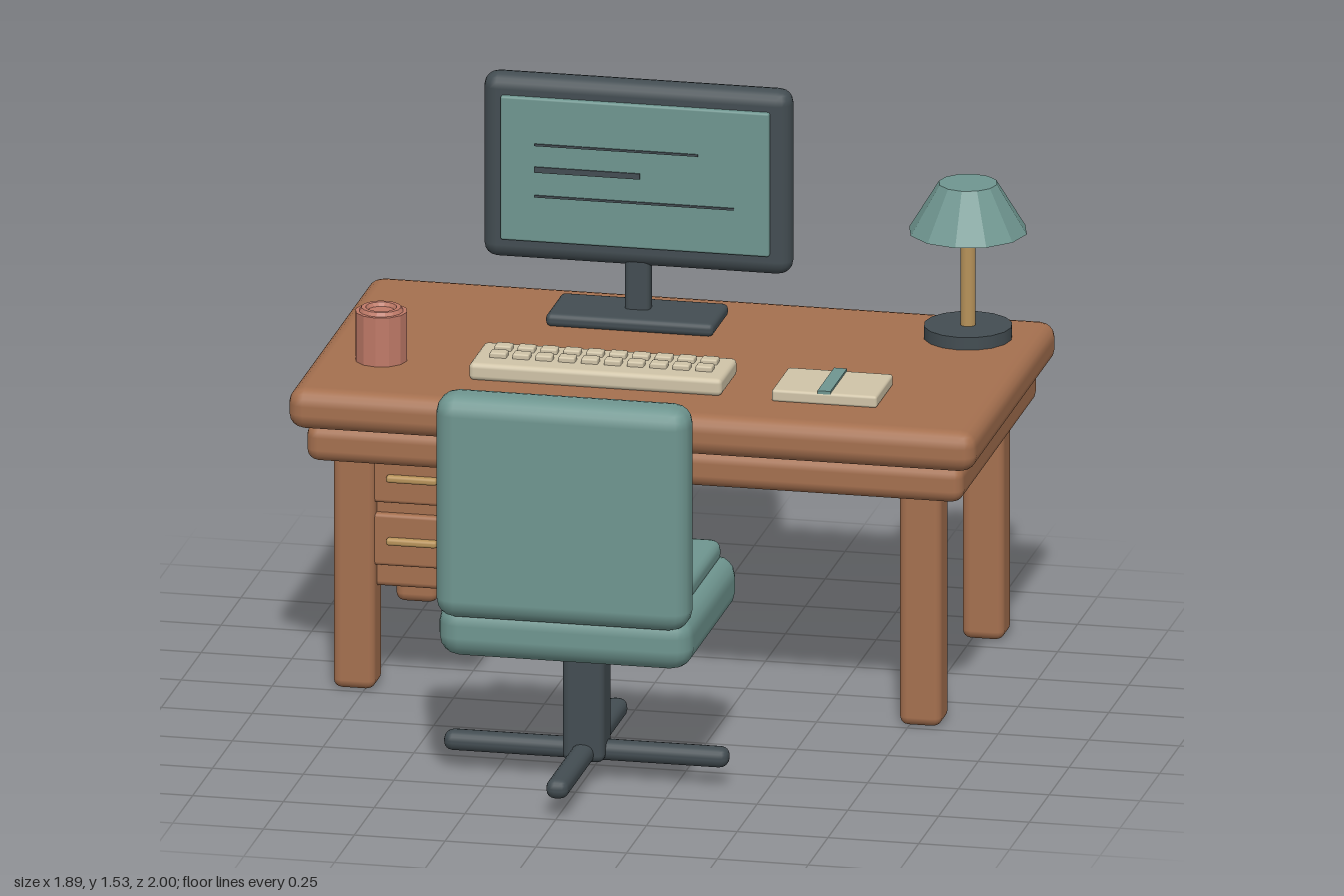
import * as THREE from 'three';
import { RoundedBoxGeometry } from 'three/addons/geometries/RoundedBoxGeometry.js';

const paint = (name, color, extra = {}) => {
  const m = new THREE.MeshStandardMaterial({ color, ...extra });
  m.name = name;
  return m;
};

export function createModel() {
  const wood = paint('wood', 0xa5704f);
  const teal = paint('teal', 0x6f9690);
  const tealFacet = paint('shade teal', 0x6f9690, { flatShading: true });
  const dark = paint('charcoal', 0x434d52);
  const cream = paint('cream', 0xd0c4a8);
  const clay = paint('clay', 0xc07a68, { flatShading: true });
  const brass = paint('brass', 0xb8935a);

  const model = new THREE.Group();
  const group = (name) => {
    const g = new THREE.Group();
    g.name = name;
    model.add(g);
    return g;
  };
  const add = (parent, name, geometry, material, x, y, z) => {
    const mesh = new THREE.Mesh(geometry, material);
    mesh.name = name;
    mesh.position.set(x, y, z);
    parent.add(mesh);
    return mesh;
  };
  // Box given by its limits on each axis, with bevelled edges when r > 0
  const box = (parent, name, material, [x0, x1], [y0, y1], [z0, z1], r = 0) => {
    const s = [x1 - x0, y1 - y0, z1 - z0];
    const geometry = r ? new RoundedBoxGeometry(...s, 2, r) : new THREE.BoxGeometry(...s);
    return add(parent, name, geometry, material, (x0 + x1) / 2, (y0 + y1) / 2, (z0 + z1) / 2);
  };

  // Desk
  const desk = group('desk');
  box(desk, 'deskTop', wood, [-0.947, 0.947], [0.75, 0.865], [-1, 0.07], 0.045);
  box(desk, 'apron', wood, [-0.905, 0.905], [0.65, 0.755], [-0.945, 0.025], 0.035);
  for (const x of [-0.78, 0.78])
    for (const z of [-0.07, -0.86])
      box(desk, 'deskLeg', wood, [x - 0.058, x + 0.058], [0.005, 0.68], [z - 0.058, z + 0.058], 0.025);

  // Drawer pedestal
  const drawers = group('drawerUnit');
  box(drawers, 'drawerCase', wood, [-0.78, -0.435], [0.29, 0.68], [-0.935, -0.05], 0.015);
  for (const y of [0.605, 0.428]) {
    box(drawers, 'drawerFront', wood, [-0.77, -0.44], [y - 0.073, y + 0.073], [-0.07, -0.03], 0.01);
    box(drawers, 'drawerHandle', brass, [-0.69, -0.55], [y - 0.01, y + 0.01], [-0.035, -0.01], 0.008);
  }

  // Monitor
  const monitor = group('monitor');
  box(monitor, 'monitorBase', dark, [-0.387, 0.075], [0.863, 0.9], [-0.84, -0.635], 0.015);
  box(monitor, 'monitorNeck', dark, [-0.19, -0.12], [0.88, 1.06], [-0.775, -0.725], 0.015);
  box(monitor, 'monitorFrame', dark, [-0.58, 0.27], [1.02, 1.54], [-0.8, -0.715], 0.04);
  box(monitor, 'screen', teal, [-0.525, 0.215], [1.08, 1.485], [-0.73, -0.7], 0.006);
  for (const [y, x1, h] of [[1.355, 0.02, 0.006], [1.285, -0.14, 0.016], [1.21, 0.12, 0.006]])
    box(monitor, 'screenLine', dark, [-0.43, x1], [y - h / 2, y + h / 2], [-0.701, -0.696]);
  box(monitor, 'backPlate', brass, [-0.24, -0.07], [1.24, 1.32], [-0.808, -0.799]);

  // Keyboard with two rows of keys
  const keyboard = group('keyboard');
  box(keyboard, 'keyboardBody', cream, [-0.487, 0.21], [0.863, 0.912], [-0.33, -0.125], 0.014);
  for (let i = 0; i < 10; i++)
    for (const z of [-0.27, -0.207]) {
      const x = -0.42 + i * 0.063;
      box(keyboard, 'key', cream, [x - 0.023, x + 0.023], [0.905, 0.926], [z - 0.019, z + 0.019], 0.005);
    }

  // Notebook with a band
  const notebook = group('notebook');
  box(notebook, 'notebookBody', cream, [0.35, 0.64], [0.863, 0.897], [-0.325, -0.115], 0.008);
  box(notebook, 'notebookBand', teal, [0.477, 0.513], [0.894, 0.903], [-0.325, -0.115]);

  // Cup
  const cup = group('cup');
  add(cup, 'cupBody', new THREE.CylinderGeometry(0.071, 0.071, 0.14, 12), clay, -0.755, 0.933, -0.255);
  add(cup, 'cupRim', new THREE.TorusGeometry(0.048, 0.012, 6, 16), clay, -0.755, 1.003, -0.255)
    .rotation.x = Math.PI / 2;

  // Lamp
  const lamp = group('lamp');
  lamp.position.set(0.745, 0, -0.787);
  add(lamp, 'lampBase', new THREE.CylinderGeometry(0.12, 0.12, 0.037, 16), dark, 0, 0.882, 0);
  add(lamp, 'lampPost', new THREE.CylinderGeometry(0.021, 0.021, 0.3, 12), brass, 0, 1.03, 0);
  add(lamp, 'lampBulb', new THREE.SphereGeometry(0.075, 16, 10), brass, 0, 1.16, 0).scale.y = 0.37;
  add(lamp, 'lampShade', new THREE.CylinderGeometry(0.08, 0.162, 0.135, 12), tealFacet, 0, 1.233, 0);

  // Chair
  const chair = group('chair');
  box(chair, 'chairBack', teal, [-0.35, 0.35], [0.53, 1.16], [0.82, 0.955], 0.055);
  box(chair, 'backPad', teal, [-0.29, 0.29], [0.64, 1.115], [0.78, 0.84], 0.022);
  box(chair, 'seat', teal, [-0.35, 0.35], [0.41, 0.565], [0.28, 0.92], 0.06);
  box(chair, 'seatPad', teal, [-0.31, 0.31], [0.545, 0.61], [0.315, 0.82], 0.028);
  box(chair, 'chairPost', dark, [-0.058, 0.058], [0.06, 0.43], [0.55, 0.666], 0.022);
  box(chair, 'chairFootAcross', dark, [-0.392, 0.392], [0.058, 0.113], [0.575, 0.637], 0.025);
  box(chair, 'chairFootAlong', dark, [-0.031, 0.031], [0.058, 0.113], [0.215, 1], 0.025);

  return model;
}
